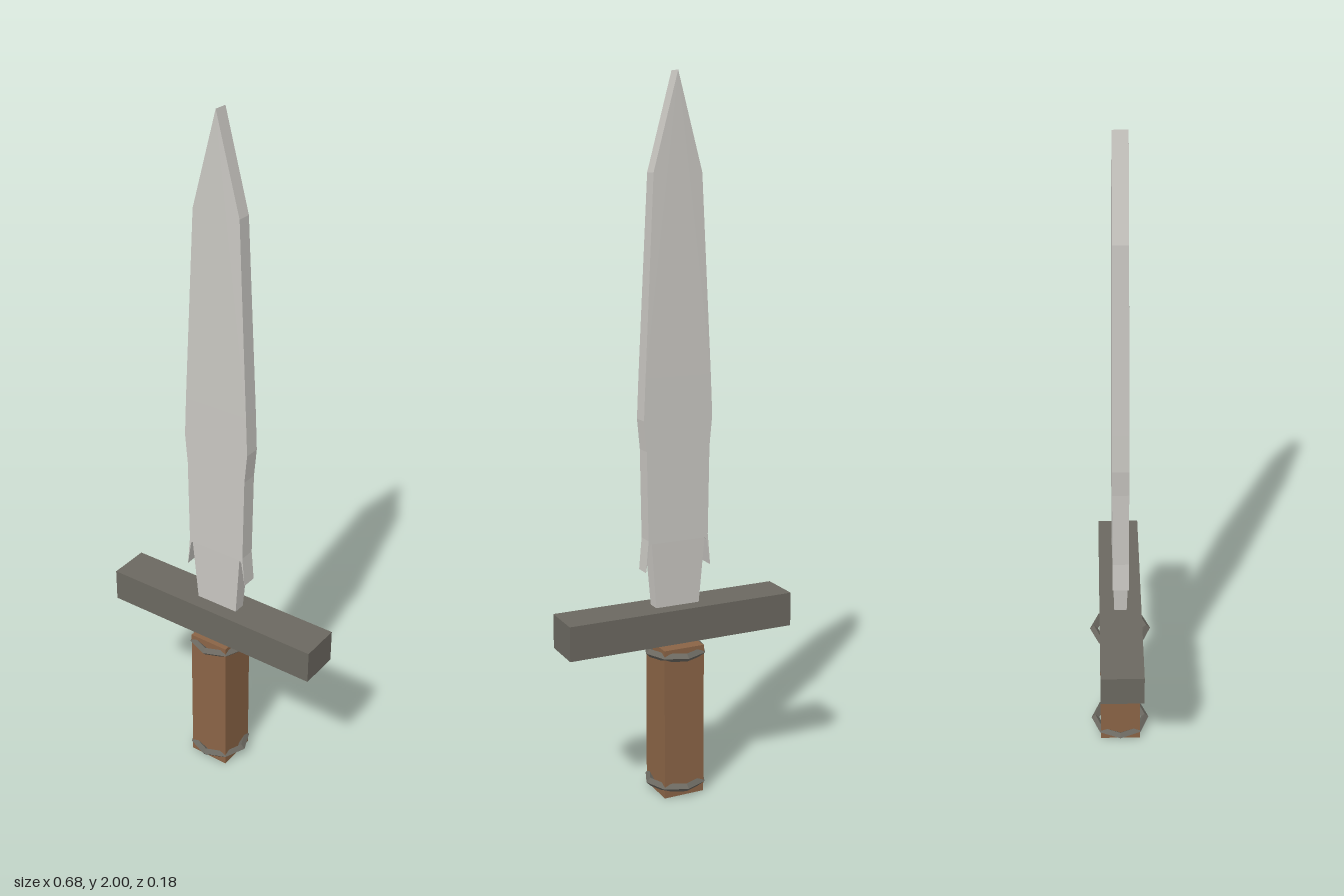
import * as THREE from 'three';

function material(name, color) {
  const m = new THREE.MeshStandardMaterial({ color });
  m.name = name;
  return m;
}

export function createModel() {
  const group = new THREE.Group();
  group.name = 'dagger';
  const steel = material('pale steel', 0xc9c7c2);
  const iron = material('dark iron', 0x6b6860);
  const wood = material('brown wood', 0x8a6446);

  function add(name, geometry, mat, y = 0) {
    const mesh = new THREE.Mesh(geometry, mat);
    mesh.name = name;
    mesh.position.y = y;
    group.add(mesh);
    return mesh;
  }

  // Grip and the separate crossguard above it
  add('grip', new THREE.BoxGeometry(0.122, 0.44, 0.122), wood, 0.22);
  add('crossguard', new THREE.BoxGeometry(0.682, 0.098, 0.122), iron, 0.504);

  // Eight-sided rings with a diamond section around both grip ends
  for (const [name, y] of [['lowerRing', 0.029], ['upperRing', 0.418]]) {
    const ring = new THREE.TorusGeometry(0.078, 0.012, 4, 8).rotateX(Math.PI / 2).toNonIndexed();
    ring.computeVertexNormals();
    add(name, ring, iron, y);
  }

  // Leaf-shaped blade with a downward barb on each side, mirrored from its left half
  const half = [
    [0.066, 0.553], [0.081, 0.74], [0.087, 0.735], [0.099, 0.66], [0.091, 0.75],
    [0.095, 1.0], [0.103, 1.085], [0.098, 1.2], [0.071, 1.74],
  ];
  const outline = [...half, [0, 2], ...half.slice().reverse().map(([x, y]) => [-x, y])];
  const shape = new THREE.Shape(outline.map(([x, y]) => new THREE.Vector2(x, y)));
  const blade = new THREE.ExtrudeGeometry(shape, { depth: 1, bevelEnabled: false });

  // Thinner at the root and towards the point
  const p = blade.attributes.position;
  for (let i = 0; i < p.count; i++) {
    const y = p.getY(i);
    const t = y < 0.6 ? 0.018 : y > 1.7 ? 0.02 : 0.023;
    p.setZ(i, p.getZ(i) > 0.5 ? t : -t);
  }
  blade.computeVertexNormals();
  add('blade', blade, steel);

  return group;
}
